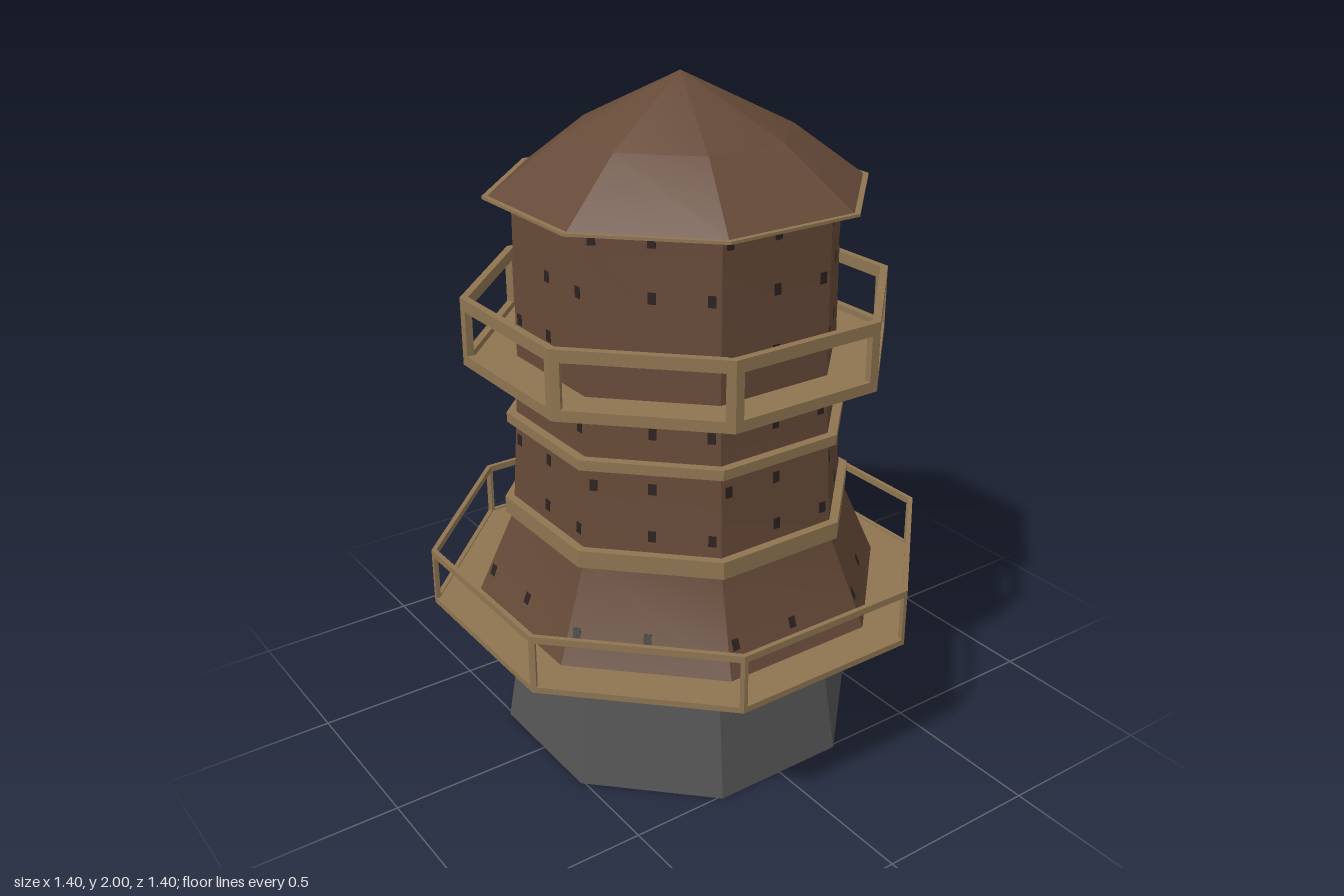
import * as THREE from 'three';
import { toCreasedNormals } from 'three/addons/utils/BufferGeometryUtils.js';

const SIDES = 8;
const HALF = Math.PI / SIDES;
const CREASE = THREE.MathUtils.degToRad(25);

// Wall outline as [distance from axis to flat side, height]
const WALL = [[0.58, 0.45], [0.47, 0.72], [0.465, 0.77], [0.45, 1.02], [0.44, 1.22], [0.437, 1.68]];

function material(name, color, side = THREE.FrontSide) {
  const m = new THREE.MeshStandardMaterial({ color, side });
  m.name = name;
  return m;
}

// Octagonal solid turned from an outline, with flat sides facing the axes
function octagon(name, outline, mat) {
  const points = outline.map(([r, y]) => new THREE.Vector2(r / Math.cos(HALF), y));
  const geo = new THREE.LatheGeometry(points, SIDES, HALF);
  const mesh = new THREE.Mesh(toCreasedNormals(geo, CREASE), mat);
  mesh.name = name;
  return mesh;
}

// Octagonal ring with a rectangular section
function ring(name, inner, outer, y0, y1, mat) {
  return octagon(name, [[inner, y0], [outer, y0], [outer, y1], [inner, y1], [inner, y0]], mat);
}

// Gallery: a floor with one open railing frame on each side
function gallery(name, o, mat) {
  const group = new THREE.Group();
  group.name = name;
  group.add(ring('galleryFloor', o.inner, o.outer - 0.002, o.y0, o.y0 + 0.014, mat));

  const w = o.outer * Math.tan(HALF);
  const rect = (P, x, b, t) => new P([[-x, b], [x, b], [x, t], [-x, t]].map(p => new THREE.Vector2(...p)));
  const frame = rect(THREE.Shape, w, o.y0, o.y1);
  frame.holes.push(rect(THREE.Path, w - o.post, o.y0 + o.bottom, o.y1 - o.top));
  const geo = new THREE.ExtrudeGeometry(frame, { depth: o.depth, bevelEnabled: false });
  geo.translate(0, 0, o.outer - o.depth);

  for (let i = 0; i < SIDES; i++) {
    const rail = new THREE.Mesh(geo, mat);
    rail.name = 'railingFrame';
    rail.rotation.y = i * 2 * HALF;
    group.add(rail);
  }
  return group;
}

// Wall distance and lean at a given height
function wallAt(y) {
  let i = 0;
  while (i < WALL.length - 2 && y > WALL[i + 1][1]) i++;
  const [r0, y0] = WALL[i], [r1, y1] = WALL[i + 1];
  const slope = (r1 - r0) / (y1 - y0);
  return { r: r0 + slope * (y - y0), lean: Math.atan(slope) };
}

// Small dark chinks scattered in rows over the walls
function chinks(mat) {
  const group = new THREE.Group();
  group.name = 'wallChinks';
  const geo = new THREE.BoxGeometry(0.022, 0.032, 0.004);
  for (let i = 0; i < SIDES; i++) {
    const side = new THREE.Group();
    side.name = 'wallSideChinks';
    side.rotation.y = i * 2 * HALF;
    [0.54, 0.82, 0.96, 1.12, 1.33, 1.5, 1.65].forEach((y, row) => {
      const { r, lean } = wallAt(y);
      const edge = r * Math.tan(HALF) - 0.025;
      for (const x of row % 2 ? [0, edge] : [0, -edge]) {
        const chink = new THREE.Mesh(geo, mat);
        chink.name = 'chink';
        chink.position.set(x, y, r);
        chink.rotation.x = lean;
        side.add(chink);
      }
    });
    group.add(side);
  }
  return group;
}

export function createModel() {
  const stone = material('darkStone', 0x545454, THREE.DoubleSide);
  const wood = material('brownWood', 0x664a38);
  const trim = material('tanTrim', 0x8f7552);
  const dark = material('darkChink', 0x2c2120);

  const tower = new THREE.Group();
  tower.name = 'tower';

  // Hollow stone base, open below
  tower.add(octagon('stoneBase', [[0.51, 0], [0.443, 0.45]], stone));

  // Wooden walls with a flared skirt
  tower.add(octagon('woodenWalls', [[0, 0.45], ...WALL, [0, 1.68]], wood));
  tower.add(chinks(dark));

  // Trim bands
  tower.add(ring('lowerBand', 0.44, 0.49, 0.72, 0.772, trim));
  tower.add(ring('upperBand', 0.43, 0.475, 1.012, 1.042, trim));

  // Galleries
  tower.add(gallery('lowerGallery',
    { inner: 0.44, outer: 0.7, y0: 0.44, y1: 0.618, post: 0.012, top: 0.02, bottom: 0.018, depth: 0.014 }, trim));
  tower.add(gallery('upperGallery',
    { inner: 0.42, outer: 0.58, y0: 1.2, y1: 1.4, post: 0.026, top: 0.036, bottom: 0.032, depth: 0.022 }, trim));

  // Roof in two pitches over a thin eave board
  tower.add(octagon('eaveBoard', [[0, 1.676], [0.51, 1.676], [0.51, 1.684], [0, 1.684]], trim));
  tower.add(octagon('roof', [[0.495, 1.684], [0.3, 1.84], [0, 2]], wood));

  return tower;
}
